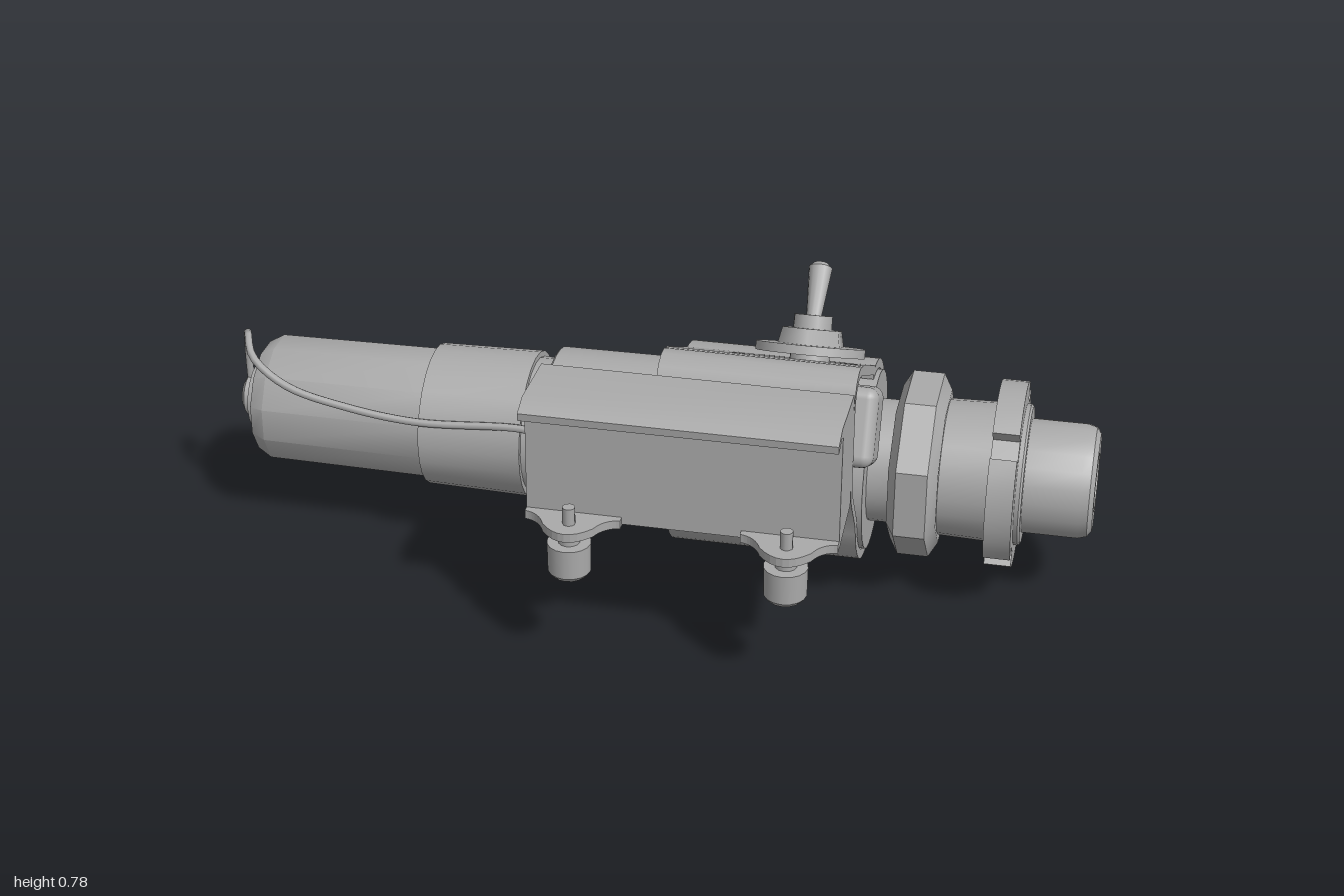
import * as THREE from 'three';
import { toCreasedNormals } from 'three/addons/utils/BufferGeometryUtils.js';
import { RoundedBoxGeometry } from 'three/addons/geometries/RoundedBoxGeometry.js';

const CY = 0.285, CZ = -0.126; // long axis of the barrel
const SWITCH_X = 0.365;

export function createModel() {
  const model = new THREE.Group();
  model.name = 'clampedBarrel';
  const grey = new THREE.MeshStandardMaterial({ color: 0xaaaaaa });
  grey.name = 'plainGrey';

  const add = (name, geo, parent = model, x = 0, y = 0, z = 0) => {
    const m = new THREE.Mesh(geo, grey);
    m.name = name;
    m.position.set(x, y, z);
    parent.add(m);
    return m;
  };
  // Turned part along x from [x, radius] pairs
  const turned = (name, pts, sides = 24, spin = 0) => {
    const g = new THREE.LatheGeometry(pts.map(([x, r]) => new THREE.Vector2(r, x)), sides, spin);
    g.rotateZ(-Math.PI / 2);
    return add(name, toCreasedNormals(g, 0.55), model, 0, CY, CZ);
  };
  // Side outline of [z, y] points, pulled along x
  const sideExtrude = (name, pts, x0, x1) => {
    const s = new THREE.Shape(pts.map(([z, y]) => new THREE.Vector2(-z, y)));
    const g = new THREE.ExtrudeGeometry(s, { depth: x1 - x0, bevelEnabled: false });
    g.rotateY(Math.PI / 2).translate(x0, 0, 0);
    return add(name, toCreasedNormals(g, 0.5));
  };
  // Thickened centre line of [z, y] points
  const strip = (name, pts, t, x0, x1) => {
    const sides = [[], []];
    pts.forEach(([z, y], i) => {
      const a = pts[Math.max(i - 1, 0)], b = pts[Math.min(i + 1, pts.length - 1)];
      const dz = b[0] - a[0], dy = b[1] - a[1], l = Math.hypot(dz, dy);
      const oz = -dy / l * t / 2, oy = dz / l * t / 2;
      sides[0].push([z + oz, y + oy]);
      sides[1].unshift([z - oz, y - oy]);
    });
    return sideExtrude(name, [...sides[0], ...sides[1]], x0, x1);
  };
  const arc = (r, a0, a1, n) => Array.from({ length: n + 1 }, (_, i) => {
    const a = (a0 + (a1 - a0) * i / n) * Math.PI / 180;
    return [CZ + r * Math.cos(a), CY + r * Math.sin(a)];
  });
  const tilted = (name, x, y, z, angle, parent = model) => {
    const g = new THREE.Group();
    g.name = name;
    g.position.set(x, y, z);
    g.rotation.x = angle;
    parent.add(g);
    return g;
  };
  const cyl = (name, parent, r0, r1, y0, y1, sides = 20, x = 0, z = 0) =>
    add(name, new THREE.CylinderGeometry(r1, r0, y1 - y0, sides), parent, x, (y0 + y1) / 2, z);
  // Flat plate in the local xz plane; shape y runs toward -z
  const plate = (name, shape, t, parent) => {
    const g = new THREE.ExtrudeGeometry(shape, { depth: t, bevelEnabled: false, curveSegments: 8 });
    g.rotateX(-Math.PI / 2).translate(0, -t / 2, 0);
    return add(name, g, parent);
  };

  // Barrel sections, tail to nose
  turned('tailKnob', [[-1, 0], [-1, 0.035], [-0.99, 0.05], [-0.97, 0.05], [-0.97, 0.08], [-0.94, 0.085]], 16);
  turned('tailBody', [[-0.95, 0], [-0.955, 0.1], [-0.945, 0.13], [-0.91, 0.15], [-0.5, 0.155]], 12, Math.PI / 12);
  turned('tailSleeve', [[-0.53, 0.15], [-0.53, 0.165], [-0.29, 0.17], [-0.29, 0.15]]);
  turned('neck', [[-0.3, 0.157], [-0.23, 0.157]]);
  turned('barrel', [[-0.245, 0.14], [-0.245, 0.18], [-0.24, 0.185], [0.04, 0.187], [0.04, 0.205],
    [0.5, 0.205], [0.5, 0.14], [0.56, 0.14]], 32);
  turned('frontNut', [[0.55, 0.13], [0.55, 0.175], [0.57, 0.21], [0.64, 0.21], [0.66, 0.175], [0.66, 0.13]], 8, Math.PI / 8);
  turned('noseCollar', [[0.65, 0.155], [0.84, 0.16], [0.845, 0.155], [0.845, 0.12]]);
  turned('nose', [[0.84, 0.13], [0.97, 0.13], [0.99, 0.124], [1, 0.11], [1, 0.068], [0.985, 0.06],
    [0.93, 0.055], [0.92, 0.045], [0.915, 0]], 20);

  // Notched locking ring
  const ringPts = [];
  for (let i = 0; i < 4; i++) {
    const mid = (i + 0.5) * Math.PI / 2;
    for (let k = 0; k <= 8; k++) {
      const a = mid - Math.PI / 2 + 0.14 + (Math.PI / 2 - 0.28) * k / 8;
      if (k === 0) ringPts.push([CZ + 0.175 * Math.cos(a), CY + 0.175 * Math.sin(a)]);
      ringPts.push([CZ + 0.21 * Math.cos(a), CY + 0.21 * Math.sin(a)]);
      if (k === 8) ringPts.push([CZ + 0.175 * Math.cos(a), CY + 0.175 * Math.sin(a)]);
    }
  }
  sideExtrude('lockingRing', ringPts, 0.77, 0.83);

  // Clamp band: back arc, then lower arc rising into the front loop
  const X0 = 0.06, X1 = 0.49;
  strip('clampBackArc', arc(0.218, 209, 88, 20), 0.022, X0, X1);
  strip('clampFrontLoop', [...arc(0.218, 229, 347, 20), [0.172, 0.345], [0.185, 0.37], [0.19, 0.4],
    [0.19, 0.565], [0.183, 0.595], [0.165, 0.62], [0.137, 0.63], [0.11, 0.627], [0.085, 0.615]], 0.022, X0, X1);

  // Sloping top plate with a rounded slot
  const slope = tilted('switchPlate', SWITCH_X, 0.598, 0.045, -0.47);
  const top = new THREE.Shape();
  top.moveTo(X0 - SWITCH_X, -0.048).lineTo(X1 - SWITCH_X, -0.048);
  top.lineTo(X1 - SWITCH_X, 0.2).lineTo(X0 - SWITCH_X, 0.2);
  const slot = new THREE.Path();
  slot.absarc(-0.105, 0.035, 0.07, Math.PI / 2, Math.PI * 1.5, false);
  slot.absarc(0.04, 0.035, 0.07, -Math.PI / 2, Math.PI / 2, false);
  top.holes.push(slot);
  plate('slottedPlate', top, 0.022, slope);

  // Toggle switch
  const sw = tilted('toggleSwitch', SWITCH_X, 0.602, 0.022, -0.45);
  cyl('lowerWasher', sw, 0.1, 0.1, -0.03, -0.01);
  cyl('upperWasher', sw, 0.12, 0.12, 0.01, 0.03, 24);
  cyl('switchNut', sw, 0.078, 0.07, 0.03, 0.065, 6);
  cyl('threadedNeck', sw, 0.045, 0.042, -0.09, 0.095, 16);
  const lever = tilted('lever', 0, 0.08, 0, -0.33, sw);
  cyl('leverStem', lever, 0.015, 0.026, -0.01, 0.125, 12);
  cyl('leverTip', lever, 0.026, 0.016, 0.125, 0.135, 12);
  add('switchBody', new RoundedBoxGeometry(0.33, 0.175, 0.135, 3, 0.025), sw, 0, -0.135, 0.005);
  for (const x of [-0.09, 0, 0.09]) add('terminal', new THREE.BoxGeometry(0.04, 0.05, 0.012), sw, x, -0.24, 0);

  // Split tabs with two bolts
  const T = 0.43, R = 0.045;
  const tab = new THREE.Shape();
  tab.moveTo(-T / 2, 0).lineTo(T / 2, 0).lineTo(T / 2, 0.155 - R);
  tab.absarc(T / 2 - R, 0.155 - R, R, 0, Math.PI / 2, false);
  tab.absarc(-T / 2 + R, 0.155 - R, R, Math.PI / 2, Math.PI, false);
  const tabs = tilted('upperTab', 0.275, 0.168, -0.325, -0.693);
  plate('upperTabPlate', tab, 0.022, tabs);
  plate('lowerTabPlate', tab, 0.022, tilted('lowerTab', 0.275, 0.108, -0.288, -0.693));
  for (const x of [-0.108, 0.108]) {
    const z = -0.082;
    cyl('boltShank', tabs, 0.024, 0.024, -0.13, 0.02, 12, x, z);
    const head = add('boltHead', new THREE.SphereGeometry(0.05, 16, 6, 0, Math.PI * 2, 0, Math.PI / 2), tabs, x, 0.011, z);
    head.scale.y = 0.65;
    cyl('boltNut', tabs, 0.045, 0.045, -0.115, -0.082, 6, x, z);
  }

  // Front bracket with top lip and two rounded feet
  sideExtrude('bracket', [[0.2, 0.35], [0.2, 0.615], [0.206, 0.622], [0.37, 0.628], [0.414, 0.61], [0.412, 0.592],
    [0.37, 0.607], [0.355, 0.6], [0.355, 0.333], [0.345, 0.33]], -0.19, 0.49);
  for (const x of [-0.085, 0.385]) {
    const foot = new THREE.Shape();
    foot.moveTo(0.105, 0.07).lineTo(-0.105, 0.07).lineTo(-0.105, 0.035);
    foot.quadraticCurveTo(-0.07, 0.03, -0.055, -0.01);
    foot.quadraticCurveTo(0, -0.08, 0.055, -0.01);
    foot.quadraticCurveTo(0.07, 0.03, 0.105, 0.035);
    plate('bracketFoot', foot, 0.02, tilted('foot', x, 0.34, 0.405, 0));
    cyl('thumbScrewPin', model, 0.014, 0.014, 0.3, 0.39, 10, x, 0.402);
    cyl('thumbScrewCollar', model, 0.024, 0.024, 0.305, 0.33, 12, x, 0.402);
    cyl('thumbScrewKnob', model, 0.047, 0.048, 0.237, 0.305, 16, x, 0.402);
    cyl('thumbScrewBase', model, 0.038, 0.047, 0.226, 0.237, 16, x, 0.402);
  }
  for (const x of [0.16, 0.38]) {
    const rivet = new THREE.CylinderGeometry(0.05, 0.05, 0.035, 16).rotateX(Math.PI / 2);
    add('bracketRivet', rivet, model, x, 0.5, 0.165);
  }

  // Wires from the tail cap to the switch
  const wire = (name, pts) => add(name, new THREE.TubeGeometry(
    new THREE.CatmullRomCurve3(pts.map(p => new THREE.Vector3(...p))), 60, 0.009, 8));
  wire('tailWire', [[-0.985, 0.29, -0.125], [-0.985, 0.41, -0.12], [-0.975, 0.462, -0.1], [-0.94, 0.435, -0.03],
    [-0.85, 0.39, 0.008], [-0.7, 0.36, 0.025], [-0.53, 0.345, 0.033], [-0.28, 0.36, 0.04], [-0.2, 0.355, 0.062],
    [0, 0.362, 0.095], [0.12, 0.38, 0.11], [0.25, 0.4, 0.1]]);
  wire('barrelWire', [[-0.27, 0.375, 0.02], [-0.18, 0.37, 0.05], [-0.05, 0.378, 0.065], [0.08, 0.39, 0.08], [0.3, 0.4, 0.1]]);
  return model;
}
